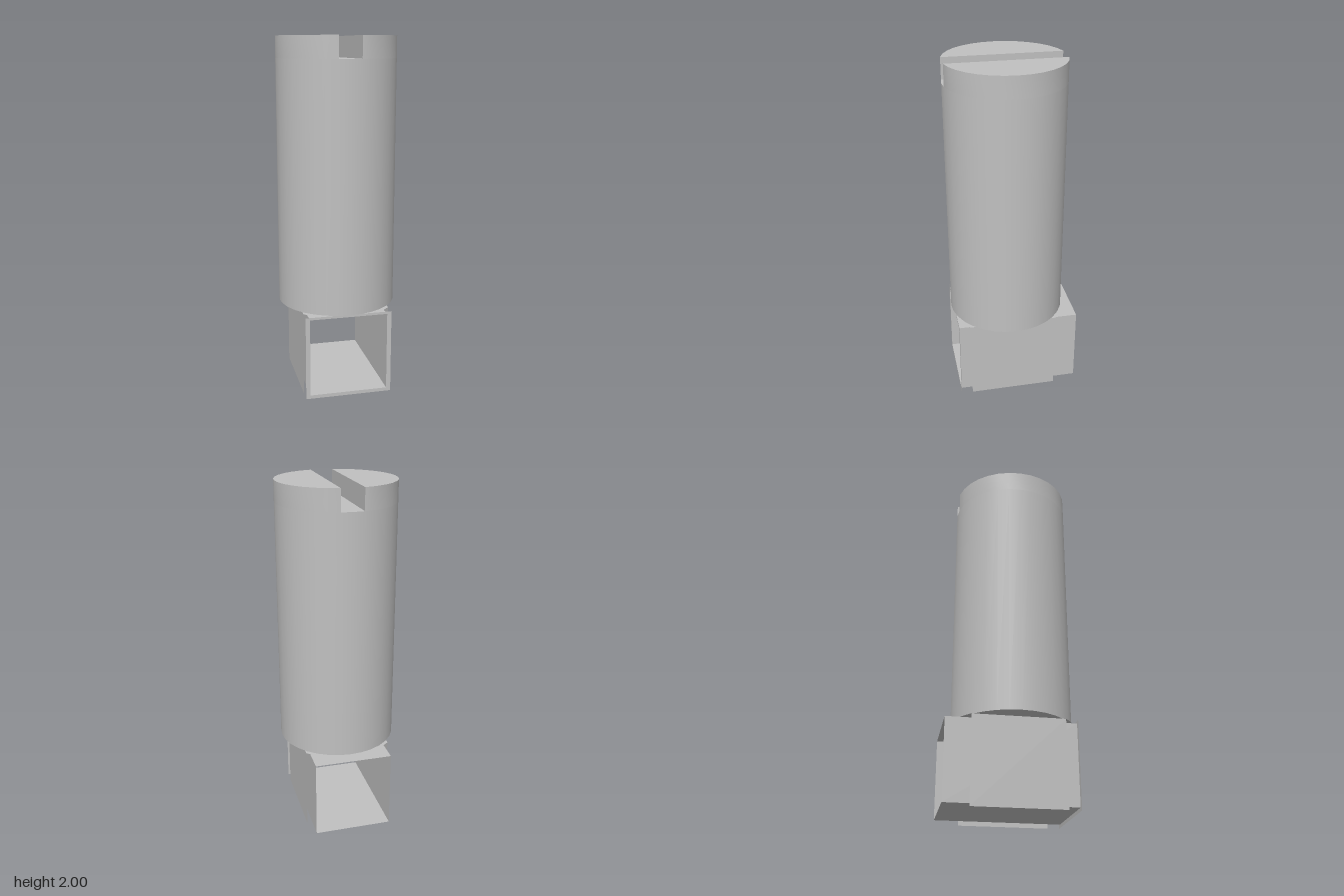
import * as THREE from 'three';
import { toCreasedNormals } from 'three/addons/utils/BufferGeometryUtils.js';

export function createModel() {
  const model = new THREE.Group();
  const steel = new THREE.MeshStandardMaterial({ color: 0xc0c0c0, side: THREE.DoubleSide });
  steel.name = 'grey steel';

  const add = (name, geometry, x, y, z) => {
    const mesh = new THREE.Mesh(geometry, steel);
    mesh.name = name;
    mesh.position.set(x, y, z);
    model.add(mesh);
    return mesh;
  };

  const R = 0.338, AXIS_Z = 0.025, SEGMENTS = 32;
  const BOTTOM = 0.487, SLOT_FLOOR = 1.88, TOP = 2;
  const SLOT = 0.063;

  // Screw shank up to the slot floor
  const shankHeight = SLOT_FLOOR - BOTTOM;
  add('screwShank', new THREE.CylinderGeometry(R, R, shankHeight, SEGMENTS), 0, BOTTOM + shankHeight / 2, AXIS_Z);

  // Two circle segments on either side of the screwdriver slot
  for (const side of [1, -1]) {
    const points = [];
    for (let i = -7; i <= 7; i++) {
      const a = (i * 2 * Math.PI) / SEGMENTS;
      points.push(new THREE.Vector2(side * R * Math.cos(a), R * Math.sin(a)));
    }
    const edge = R * 0.9815;
    points.push(new THREE.Vector2(side * SLOT, edge), new THREE.Vector2(side * SLOT, -edge));
    const half = new THREE.ExtrudeGeometry(new THREE.Shape(points), { depth: TOP - SLOT_FLOOR, bevelEnabled: false });
    half.rotateX(-Math.PI / 2);
    add(side > 0 ? 'leftSlotHalf' : 'rightSlotHalf', toCreasedNormals(half, 0.5), 0, SLOT_FLOOR, AXIS_Z);
  }

  // Square clamp sleeve made of four thin walls, open at both ends
  const W = 0.222, LOW = 0.02, HIGH = 0.47, BACK = -0.365, FRONT = 0.346;
  const length = FRONT - BACK, midZ = (FRONT + BACK) / 2, midY = (LOW + HIGH) / 2;
  for (const y of [LOW, HIGH]) {
    add(y === LOW ? 'sleeveFloor' : 'sleeveRoof',
      new THREE.PlaneGeometry(2 * W, length).rotateX(y === LOW ? Math.PI / 2 : -Math.PI / 2), 0, y, midZ);
  }
  for (const side of [1, -1]) {
    add(side > 0 ? 'leftSleeveWall' : 'rightSleeveWall',
      new THREE.PlaneGeometry(length, HIGH - LOW).rotateY(side * Math.PI / 2), side * W, midY, midZ);
  }

  // Outer cheeks standing beside the sleeve
  const CHEEK_X = 0.247, CHEEK_TOP = 0.484, CHEEK_BACK = -0.228, CHEEK_FRONT = 0.28;
  for (const side of [1, -1]) {
    add(side > 0 ? 'leftCheek' : 'rightCheek',
      new THREE.PlaneGeometry(CHEEK_FRONT - CHEEK_BACK, CHEEK_TOP).rotateY(side * Math.PI / 2),
      side * CHEEK_X, CHEEK_TOP / 2, (CHEEK_FRONT + CHEEK_BACK) / 2);
  }

  // Flat frame around the front opening
  const frame = new THREE.Shape([
    new THREE.Vector2(-CHEEK_X, 0), new THREE.Vector2(CHEEK_X, 0),
    new THREE.Vector2(CHEEK_X, CHEEK_TOP), new THREE.Vector2(-CHEEK_X, CHEEK_TOP)]);
  frame.holes.push(new THREE.Path([
    new THREE.Vector2(-W, LOW), new THREE.Vector2(-W, HIGH),
    new THREE.Vector2(W, HIGH), new THREE.Vector2(W, LOW)]));
  add('frontFrame', new THREE.ShapeGeometry(frame), 0, 0, FRONT);

  // Top plate: a disc trimmed by the cheeks and the front frame (shape y points to the back)
  const r = 0.355;
  const arc = (from, to) => Array.from({ length: 9 }, (_, i) => {
    const a = from + ((to - from) * i) / 8;
    return new THREE.Vector2(r * Math.cos(a), r * Math.sin(a) - AXIS_Z);
  });
  const sideAngle = Math.acos(CHEEK_X / r);
  const frontAngle = Math.asin((FRONT - AXIS_Z) / r);
  const plate = new THREE.Shape([
    ...arc(sideAngle, Math.PI - sideAngle),
    ...arc(Math.PI + sideAngle, Math.PI + frontAngle),
    ...arc(-frontAngle, -sideAngle)]);
  add('topPlate', new THREE.ShapeGeometry(plate).rotateX(-Math.PI / 2), 0, CHEEK_TOP, 0);

  return model;
}
